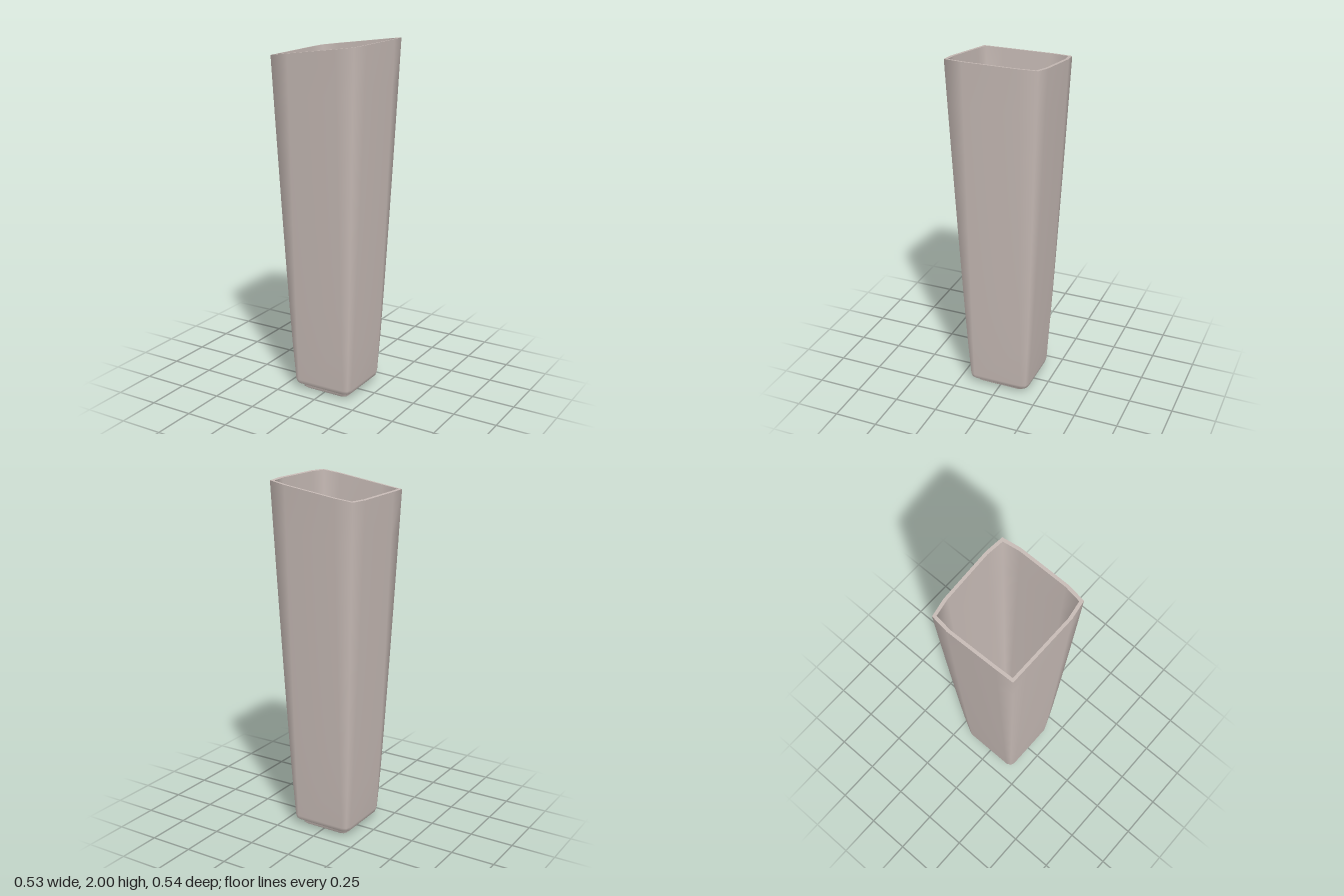
import * as THREE from 'three';

const TOP_LEFT = 1.925, TOP_RIGHT = 2.0, BASE = 0.06;

// Rim outline: a corner and two side points per quarter, seen from above
const RIM = [
  [0.266, -0.15], [0.266, 0.15], [0.251, 0.253], [0.15, 0.267],
  [-0.15, 0.257], [-0.255, 0.253], [-0.259, 0.15], [-0.267, -0.15],
  [-0.255, -0.255], [-0.155, -0.27], [0.15, -0.27], [0.251, -0.255],
];

// Rounded square with the same twelve points
function square(half, round, y) {
  const s = half - round, c = s + round * 0.707;
  return [
    [half, -s], [half, s], [c, c], [s, half], [-s, half], [-c, c],
    [-half, s], [-half, -s], [-c, -c], [-s, -half], [s, -half], [c, -c],
  ].map(([x, z]) => [x, y, z]);
}

const rimHeight = (x) => TOP_LEFT + (TOP_RIGHT - TOP_LEFT) * (x + 0.267) / 0.533;
const rim = (scale) => RIM.map(([x, z]) => [x * scale, rimHeight(x * scale), z * scale]);

// Rings that blend from a base square up to the slanted rim
function wall(bottom, top, steps = 8) {
  const rings = [];
  for (let i = 0; i <= steps; i++) {
    const t = i / steps, w = Math.pow(t, 0.87);
    rings.push(bottom.map((b, k) => [
      b[0] + (top[k][0] - b[0]) * w,
      b[1] + (top[k][1] - b[1]) * t,
      b[2] + (top[k][2] - b[2]) * w,
    ]));
  }
  return rings;
}

// Skin successive rings; outward when they rise; optional cap on the last ring
function loft(rings, cap = false) {
  const pos = rings.flat(2), idx = [], n = 12;
  for (let r = 0; r < rings.length - 1; r++) {
    for (let k = 0; k < n; k++) {
      const a = r * n + k, b = r * n + (k + 1) % n;
      idx.push(a, a + n, b, b, a + n, b + n);
    }
  }
  if (cap) {
    const last = rings[rings.length - 1], o = (rings.length - 1) * n;
    pos.push(0, last[0][1], 0);
    for (let k = 0; k < n; k++) idx.push(o + k, rings.length * n, o + (k + 1) % n);
  }
  const g = new THREE.BufferGeometry();
  g.setAttribute('position', new THREE.Float32BufferAttribute(pos, 3));
  g.setIndex(idx);
  g.computeVertexNormals();
  return g;
}

export function createModel() {
  const group = new THREE.Group();
  const clay = new THREE.MeshStandardMaterial({ color: 0xc4b8b3, side: THREE.DoubleSide });
  clay.name = 'warm grey ceramic';
  const add = (name, geometry) => {
    const mesh = new THREE.Mesh(geometry, clay);
    mesh.name = name;
    group.add(mesh);
  };

  // Tapered outer body with a softened lower edge
  add('outerWall', loft([
    square(0.163, 0.03, 0.03),
    square(0.176, 0.035, 0.037),
    ...wall(square(0.182, 0.035, BASE), rim(1)),
  ]));

  // Flat slanted lip
  add('rim', loft([rim(1), rim(0.937)]));

  // Hollow inside, running down to the floor
  add('innerWall', loft([
    ...wall(square(0.164, 0.03, 0.08), rim(0.937)).reverse(),
    square(0.155, 0.03, 0.062),
  ]));
  add('innerFloor', loft([square(0.155, 0.03, 0.062), square(0.1, 0.02, 0.06)], true));

  // Underside shoulder, foot ring and recessed base
  add('underside', loft([square(0.148, 0.025, 0.03), square(0.163, 0.03, 0.03)]));
  add('footSide', loft([
    square(0.137, 0.025, 0), square(0.144, 0.025, 0.006), square(0.148, 0.025, 0.03),
  ]));
  add('footRing', loft([square(0.115, 0.02, 0), square(0.137, 0.025, 0)]));
  add('footRecess', loft([square(0.105, 0.02, 0.015), square(0.115, 0.02, 0)]));
  const base = loft([square(0.105, 0.02, 0.015), square(0.05, 0.01, 0.015)], true);
  base.index.array.reverse();
  base.computeVertexNormals();
  add('baseUnderside', base);

  return group;
}
